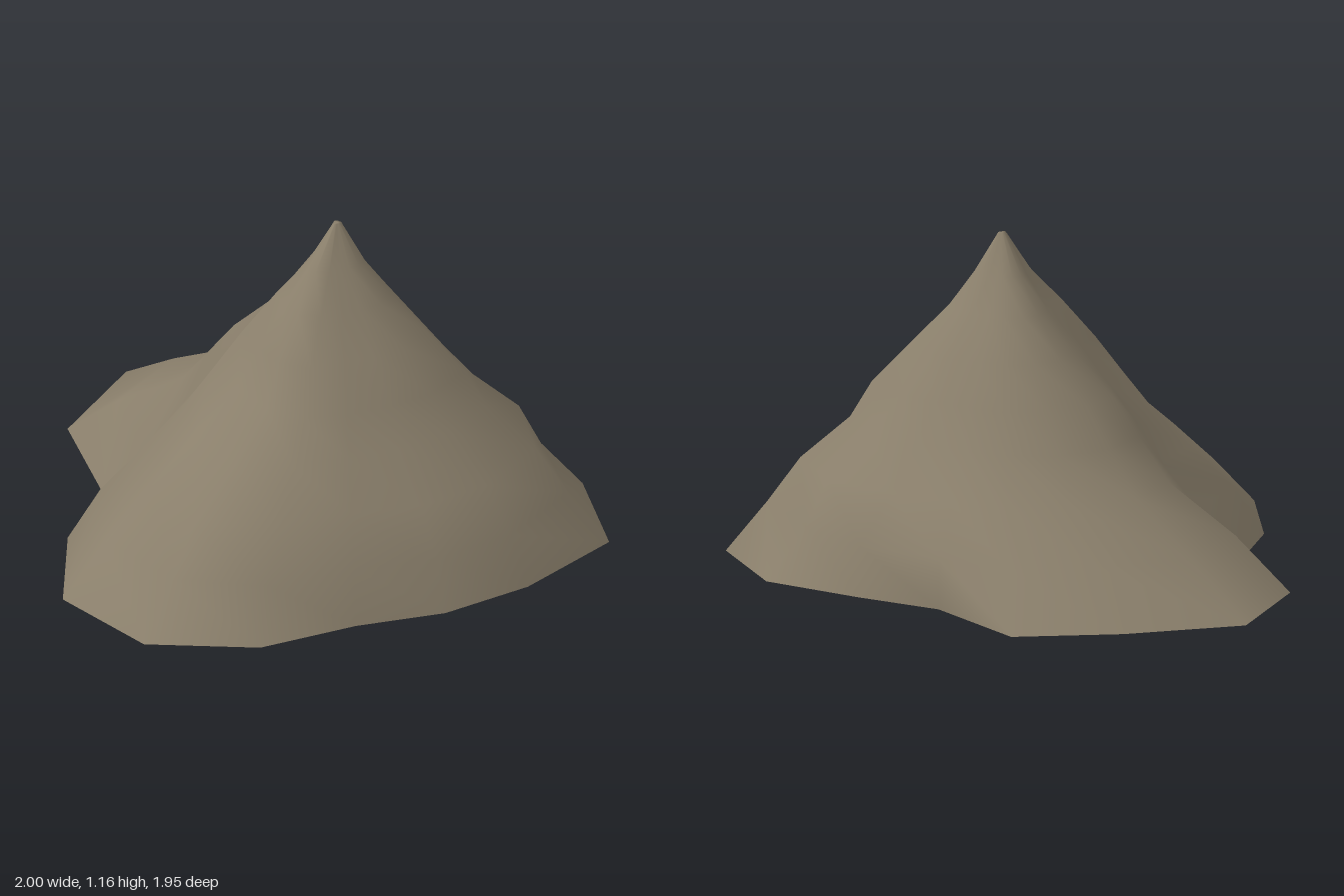
import * as THREE from 'three';

// Ring heights from foot to tip
const HEIGHTS = [0, 0.18, 0.34, 0.49, 0.62, 0.76, 0.9, 1.02, 1.16];
const PEAK = { x: 0.115, z: -0.125 };
const TIP = 0.014;

// How far each ring above the foot reaches out, per kind of flank
const FLANKS = {
  back: [0.81, 0.58, 0.45, 0.37, 0.27, 0.165, 0.07],
  rearWall: [0.99, 0.78, 0.6, 0.47, 0.36, 0.21, 0.09],
  rearRight: [0.83, 0.74, 0.55, 0.43, 0.31, 0.19, 0.09],
  right: [0.85, 0.73, 0.55, 0.47, 0.33, 0.19, 0.1],
  rightGully: [0.91, 0.78, 0.58, 0.49, 0.34, 0.225, 0.11],
  frontRight: [0.9, 0.76, 0.61, 0.507, 0.35, 0.22, 0.11],
  frontRidge: [0.88, 0.73, 0.57, 0.455, 0.34, 0.22, 0.11],
  front: [0.85, 0.745, 0.545, 0.37, 0.305, 0.205, 0.115],
  frontHollow: [0.84, 0.68, 0.52, 0.37, 0.29, 0.195, 0.105],
  frontLeft: [0.88, 0.715, 0.57, 0.465, 0.355, 0.23, 0.11],
  leftGully: [0.82, 0.67, 0.56, 0.45, 0.33, 0.21, 0.1],
  left: [0.81, 0.58, 0.475, 0.385, 0.255, 0.16, 0.085],
  leftSlope: [0.775, 0.55, 0.44, 0.35, 0.24, 0.15, 0.08],
  rearLeft: [0.79, 0.595, 0.47, 0.37, 0.27, 0.18, 0.085],
};

// Foot of each spur: x, z, flank
const SPURS = [
  [-0.34, -0.98, 'back'], [0.03, -0.79, 'rearWall'], [0.34, -0.78, 'rearWall'],
  [0.71, -0.745, 'rearRight'], [1.0, -0.47, 'right'], [0.93, -0.07, 'rightGully'],
  [0.79, 0.23, 'rightGully'], [0.58, 0.47, 'frontRight'], [0.385, 0.77, 'frontRidge'],
  [0.04, 0.97, 'front'], [-0.355, 0.875, 'frontHollow'],
  [-0.565, 0.525, 'frontLeft'], [-0.635, 0.205, 'leftGully'],
  [-0.96, -0.075, 'left'], [-1.0, -0.5, 'leftSlope'], [-0.67, -0.78, 'rearLeft'],
];

function slopeGeometry() {
  const n = SPURS.length;
  const top = HEIGHTS.length - 1;
  const positions = [];
  const indices = [];
  HEIGHTS.forEach((y, k) => {
    for (const [x, z, flank] of SPURS) {
      const f = [1, ...FLANKS[flank], TIP][k];
      positions.push(PEAK.x + (x - PEAK.x) * f, y, PEAK.z + (z - PEAK.z) * f);
    }
  });
  const tip = positions.length / 3;
  positions.push(PEAK.x, HEIGHTS[top], PEAK.z);

  for (let k = 0; k <= top; k++) {
    for (let i = 0; i < n; i++) {
      const a = k * n + i;
      const b = k * n + ((i + 1) % n);
      if (k === top) indices.push(a, tip, b); // small summit cap
      else indices.push(a, a + n, b + n, a, b + n, b);
    }
  }
  const geometry = new THREE.BufferGeometry();
  geometry.setAttribute('position', new THREE.Float32BufferAttribute(positions, 3));
  geometry.setIndex(indices);
  geometry.computeVertexNormals();
  return geometry;
}

export function createModel() {
  const rock = new THREE.MeshStandardMaterial({ color: 0x8a7f6b, side: THREE.DoubleSide });
  rock.name = 'rock';

  // Hollow mountain, open underneath
  const mountain = new THREE.Mesh(slopeGeometry(), rock);
  mountain.name = 'mountain';

  const group = new THREE.Group();
  group.name = 'mountainPeak';
  group.add(mountain);
  return group;
}
